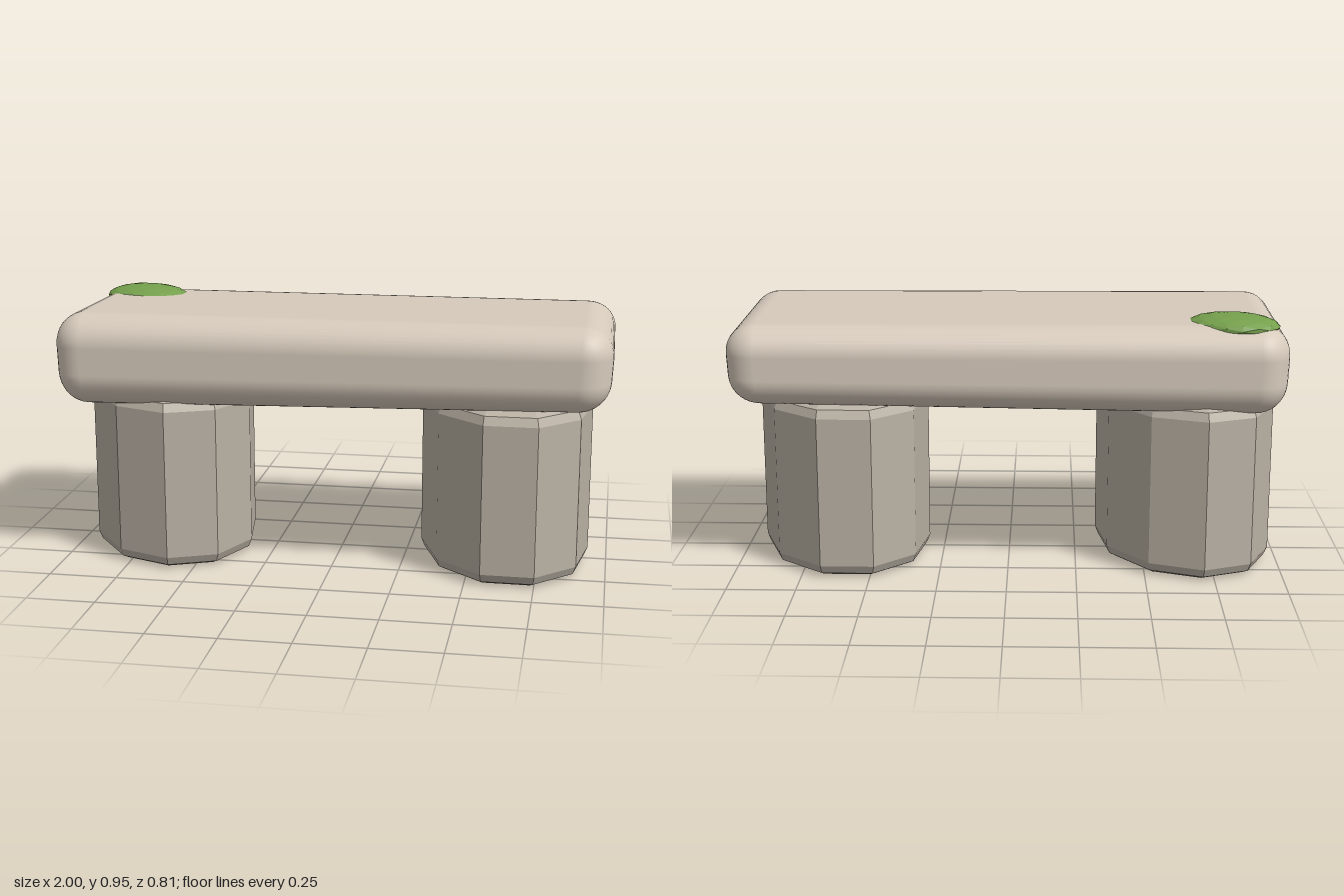
import * as THREE from 'three';
import { RoundedBoxGeometry } from 'three/addons/geometries/RoundedBoxGeometry.js';

const mat = (color, flatShading = false) => {
  const m = new THREE.MeshStandardMaterial({ color });
  m.flatShading = flatShading;
  return m;
};

// Ten-sided stone block with worn top and bottom rims, squashed to an oval and turned.
// phase: where on the oval the first corner sits, in degrees; turn: yaw in degrees
function makeLeg(name, { x, rx, rz, phase, turn }, material) {
  const height = 0.64;
  const profile = [
    [0, 0], [0.88, 0], [0.96, 0.014], [1, 0.045],
    [1, height - 0.045], [0.96, height - 0.014], [0.88, height], [0, height],
  ].map(([r, y]) => new THREE.Vector2(r, y));
  const geo = new THREE.LatheGeometry(profile, 10, THREE.MathUtils.degToRad(90 - phase));
  geo.scale(rx, 1, rz);
  const leg = new THREE.Mesh(geo, material);
  leg.name = name;
  leg.position.x = x;
  leg.rotation.y = THREE.MathUtils.degToRad(turn);
  return leg;
}

// Rounded slab, skewed a little so that it looks hand cut
function makeSlab(material) {
  const w = 2, h = 0.31, d = 0.79;
  const geo = new RoundedBoxGeometry(w, h, d, 5, 0.11);
  const p = geo.attributes.position;
  for (let i = 0; i < p.count; i++) {
    const x = p.getX(i), y = p.getY(i), z = p.getZ(i);
    const low = 0.5 - y / h; // 1 on the underside, 0 on top
    p.setXYZ(i,
      x * (1.005 - 0.015 * low),
      0.776 + y + low * 0.0175 * x + (1 - low) * 0.025 * z,
      z - 0.011 * x + 0.008 * low * (z > 0 ? 1 : 0));
  }
  const slab = new THREE.Mesh(geo, material);
  slab.name = 'seatSlab';
  return slab;
}

// Low mound of moss sunk into the back corner of the slab
function makeMoss(material) {
  const geo = new THREE.IcosahedronGeometry(1, 2);
  geo.scale(0.168, 0.043, 0.127);
  const moss = new THREE.Mesh(geo, material);
  moss.name = 'mossPatch';
  moss.position.set(-0.803, 0.911, -0.212);
  moss.rotation.y = -0.3;
  return moss;
}

export function createModel() {
  const group = new THREE.Group();
  group.name = 'stoneBench';
  const legStone = mat(0xbab2a5, true);
  group.add(
    makeLeg('rightLeg', { x: -0.65, rx: 0.306, rz: 0.4, phase: 0, turn: 23 }, legStone),
    makeLeg('leftLeg', { x: 0.618, rx: 0.309, rz: 0.4, phase: 12, turn: 15 }, legStone),
    makeSlab(mat(0xd6cabb)),
    makeMoss(mat(0x75a04c, true)),
  );
  return group;
}
